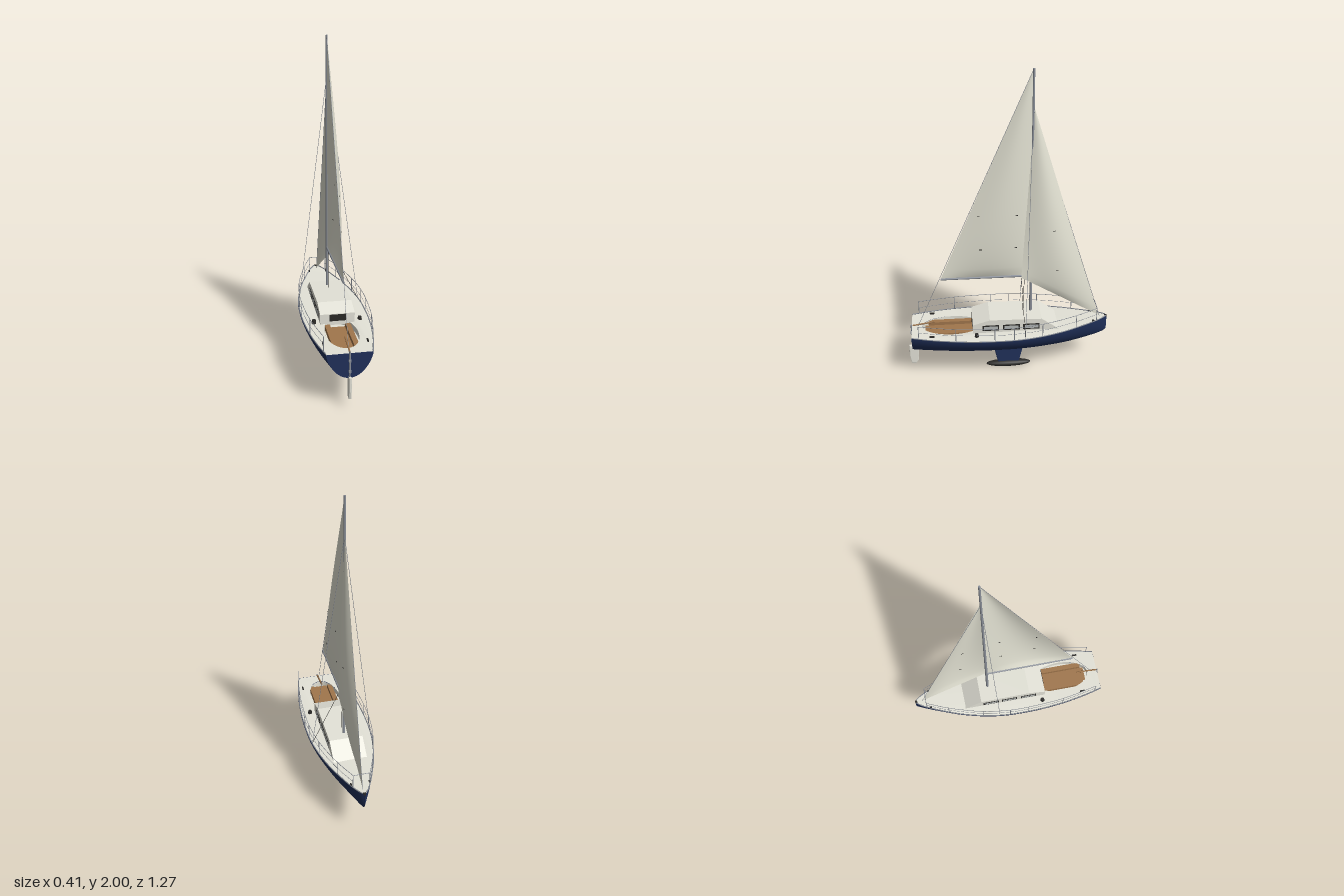
import * as THREE from 'three';

const mat = (name, color, side = THREE.FrontSide) => {
  const m = new THREE.MeshStandardMaterial({ color, side });
  m.name = name;
  return m;
};
const V = (x, y, z) => new THREE.Vector3(x, y, z);

// Smooth surface from a rule p(u, v)
function surface(fn, nu, nv) {
  const pos = [], idx = [];
  for (let j = 0; j <= nv; j++)
    for (let i = 0; i <= nu; i++) pos.push(...fn(i / nu, j / nv).toArray());
  for (let j = 0; j < nv; j++)
    for (let i = 0; i < nu; i++) {
      const a = j * (nu + 1) + i, b = a + nu + 1;
      idx.push(a, a + 1, b, a + 1, b + 1, b);
    }
  const g = new THREE.BufferGeometry();
  g.setAttribute('position', new THREE.Float32BufferAttribute(pos, 3));
  g.setIndex(idx);
  g.computeVertexNormals();
  return g;
}

// Side profile given as [z, y] points, extruded across x
function sideProfile(points, width, bevel = 0) {
  const s = new THREE.Shape(points.map(p => new THREE.Vector2(...p)));
  const g = new THREE.ExtrudeGeometry(s, {
    depth: width - 2 * bevel, bevelEnabled: bevel > 0, bevelSize: bevel, bevelThickness: bevel,
    bevelOffset: -bevel, bevelSegments: 2
  });
  g.translate(0, 0, bevel - width / 2);
  g.rotateY(-Math.PI / 2);
  return g;
}

export function createModel() {
  const root = new THREE.Group();
  root.name = 'sailboat';
  const navy = mat('navy hull', 0x20305a, THREE.DoubleSide);
  const cream = mat('cream deck', 0xe4e3d8, THREE.DoubleSide);
  const sail = mat('sail cloth', 0xe4e3d4, THREE.DoubleSide);
  const wood = mat('teak', 0xa0764c);
  const metal = mat('grey metal', 0x8b9099);
  const dark = mat('dark fittings', 0x2a2927);
  const glass = mat('window glass', 0xb4b8b6);

  const add = (name, geo, material, x = 0, y = 0, z = 0) => {
    const m = new THREE.Mesh(geo, material);
    m.name = name;
    m.position.set(x, y, z);
    root.add(m);
    return m;
  };
  const box = (name, w, h, d, material, x, y, z) =>
    add(name, new THREE.BoxGeometry(w, h, d), material, x, y, z);
  const rod = (name, a, b, r, material, r2 = r, sides = 6) => {
    const m = add(name, new THREE.CylinderGeometry(r2, r, a.distanceTo(b), sides), material);
    m.position.copy(a).lerp(b, 0.5);
    m.quaternion.setFromUnitVectors(V(0, 1, 0), b.clone().sub(a).normalize());
    return m;
  };
  const tube = (name, pts, r, material) =>
    add(name, new THREE.TubeGeometry(new THREE.CatmullRomCurve3(pts), 40, r, 5), material);

  // Hull stations: half beam, keel height, z
  const stations = new THREE.CatmullRomCurve3([
    [.135, .19, .615], [.163, .184, .5], [.188, .179, .35], [.202, .176, .2], [.205, .175, .08],
    [.200, .175, -.06], [.178, .178, -.2], [.138, .185, -.35], [.1, .198, -.45], [.067, .214, -.53],
    [.037, .23, -.59], [.017, .244, -.62], [.003, .26, -.635]
  ].map(p => V(...p)));
  const sheer = z => .338 + (z < 0 ? .022 : .008) * (z / .63) ** 2;
  const section = (s, u) => {
    const a = (u * 2 - 1) * Math.PI / 2, top = sheer(s.z);
    return V(s.x * Math.sin(a), top - (top - s.y) * Math.max(0, Math.cos(a)) ** 1.35, s.z);
  };
  const beamAt = z => {
    let lo = 0, hi = 1;
    for (let i = 0; i < 24; i++) {
      const mid = (lo + hi) / 2;
      if (stations.getPoint(mid).z > z) lo = mid; else hi = mid;
    }
    return stations.getPoint(lo).x;
  };
  add('hull', surface((u, v) => section(stations.getPoint(v), u), 32, 48), navy);

  // Transom closes the stern
  const stern = stations.getPoint(0);
  const transom = new THREE.Shape();
  for (let i = 0; i <= 32; i++) {
    const p = section(stern, i / 32);
    i ? transom.lineTo(p.x, p.y) : transom.moveTo(p.x, p.y);
  }
  add('transom', new THREE.ShapeGeometry(transom), navy, 0, 0, .615);

  // Deck with an oval cockpit opening
  const edge = stations.getPoints(48);
  const deckShape = new THREE.Shape([
    ...edge.map(p => new THREE.Vector2(p.x * .985, -p.z)),
    ...edge.slice().reverse().map(p => new THREE.Vector2(-p.x * .985, -p.z))
  ]);
  const opening = new THREE.Path();
  opening.absellipse(0, -.36, .1, .19, 0, Math.PI * 2);
  deckShape.holes.push(opening);
  const deckGeo = new THREE.ShapeGeometry(deckShape, 24);
  deckGeo.rotateX(-Math.PI / 2);
  const dp = deckGeo.attributes.position;
  for (let i = 0; i < dp.count; i++) dp.setY(i, sheer(dp.getZ(i)) - .001);
  deckGeo.computeVertexNormals();
  add('deck', deckGeo, cream);

  // Cockpit well, floor and benches
  const well = add('cockpitWell', new THREE.CylinderGeometry(1, 1, .04, 48, 1, true), cream, 0, .32, .36);
  well.scale.set(.1, 1, .19);
  const wellFloor = add('cockpitBase', new THREE.CylinderGeometry(1, 1, .004, 48), cream, 0, .3, .36);
  wellFloor.scale.set(.1, 1, .19);
  box('cockpitFloor', .09, .01, .3, wood, 0, .309, .38);
  for (const s of [-1, 1]) box('bench', .031, .03, .28, wood, s * .0625, .319, .37);

  // Cabin, windows and companionway
  add('cabin', sideProfile([[.232, .33], [.232, .402], [.125, .434], [-.2, .428], [-.312, .345], [-.312, .33]], .21), cream);
  for (const s of [-1, 1])
    for (const z of [.12, -.01, -.135]) {
      box('windowFrame', .006, .038, .104, dark, s * .105, .377, z);
      box('windowPane', .008, .024, .088, glass, s * .105, .377, z);
    }
  box('companionway', .1, .042, .006, dark, 0, .377, .232);

  // Keel, ballast bulb and rudder
  add('keel', sideProfile([[.092, .19], [.09, .13], [.068, .03], [-.068, .03], [-.09, .13], [-.092, .19]], .022, .006), navy);
  const bulb = add('ballastBulb', new THREE.SphereGeometry(1, 28, 16), dark, 0, .022, 0);
  bulb.scale.set(.03, .022, .145);
  add('rudder', sideProfile([[.64, .2], [.64, .11], [.63, .062], [.6, .06], [.584, .085], [.58, .2]], .016, .004), cream);
  for (const y of [.235, .3]) box('rudderFitting', .014, .014, .012, metal, 0, y, .62);
  rod('tiller', V(0, .352, .61), V(0, .372, .47), .005, wood);
  rod('rudderStock', V(0, .19, .618), V(0, .356, .618), .005, metal);

  // Mast, boom and standing rigging
  const head = V(0, 1.77, -.14), mastTop = V(0, 2, -.14);
  rod('mast', V(0, .34, -.14), mastTop, .009, metal, .006, 12);
  rod('boom', V(0, .685, -.14), V(0, .685, .42), .0075, metal, .0065, 10);
  rod('backstay', V(0, .346, .575), mastTop, .0014, metal);
  rod('forestay', V(0, .355, -.588), head, .0014, metal);
  for (const s of [-1, 1]) rod('shroud', V(s * .19, .34, -.09), head, .0014, metal);

  // Sails with a full belly toward the left side
  const sailRule = (tack, clew, top, belly) => (u, v) => {
    const p = tack.clone().lerp(top, v).lerp(clew.clone().lerp(top, v), u);
    p.x += belly * Math.sin(Math.PI * u) * Math.sin(Math.PI * v ** .6);
    return p;
  };
  const main = sailRule(V(0, .692, -.134), V(0, .692, .418), V(0, 1.995, -.136), .042);
  const jib = sailRule(V(0, .365, -.58), V(.02, .682, -.078), V(0, 1.77, -.148), .036);
  add('mainsail', surface(main, 24, 40), sail);
  add('jib', surface(jib, 24, 40), sail);
  for (const [rule, u, v] of [[main, .2, .16], [main, .66, .16], [main, .85, .33], [main, .24, .33], [jib, .45, .4], [jib, .5, .17]]) {
    const p = rule(u, v);
    box('telltale', .003, .004, .016, dark, p.x, p.y, p.z);
  }
  rod('jibSheet', V(.02, .682, -.078), V(.19, .342, -.09), .0013, dark);
  rod('mainSheet', V(0, .68, -.1), V(0, .43, -.09), .0013, dark);

  // Guard rails, toe rails and deck hardware on both sides
  const postZ = [.57, .34, .1, -.02, -.2, -.42, -.56];
  for (const s of [-1, 1]) {
    const at = (z, h) => V(s * beamAt(z) * .965, sheer(z) + h, z);
    for (const z of postZ) rod('stanchion', at(z, 0), at(z, .093), .0022, metal);
    tube('topRail', postZ.map(z => at(z, .093)), .0018, metal);
    tube('middleRail', postZ.map(z => at(z, .047)), .0012, metal);
    tube('toeRail', edge.slice(0, 47).map(p => V(s * p.x * .98, sheer(p.z) + .002, p.z)), .0035, metal);

    add('winch', new THREE.CylinderGeometry(.011, .014, .024, 16), dark, s * .14, .351, .21);
    box('sternCleat', .008, .01, .03, dark, s * .13, .349, .487);
    box('bowCleat', .008, .01, .014, dark, s * .057, .36, -.537);
  }
  rod('pulpit', V(-beamAt(-.56) * .965, sheer(-.56) + .093, -.56), V(beamAt(-.56) * .965, sheer(-.56) + .093, -.56), .0018, metal);
  box('stemFitting', .016, .012, .014, dark, 0, .356, -.628);

  return root;
}
